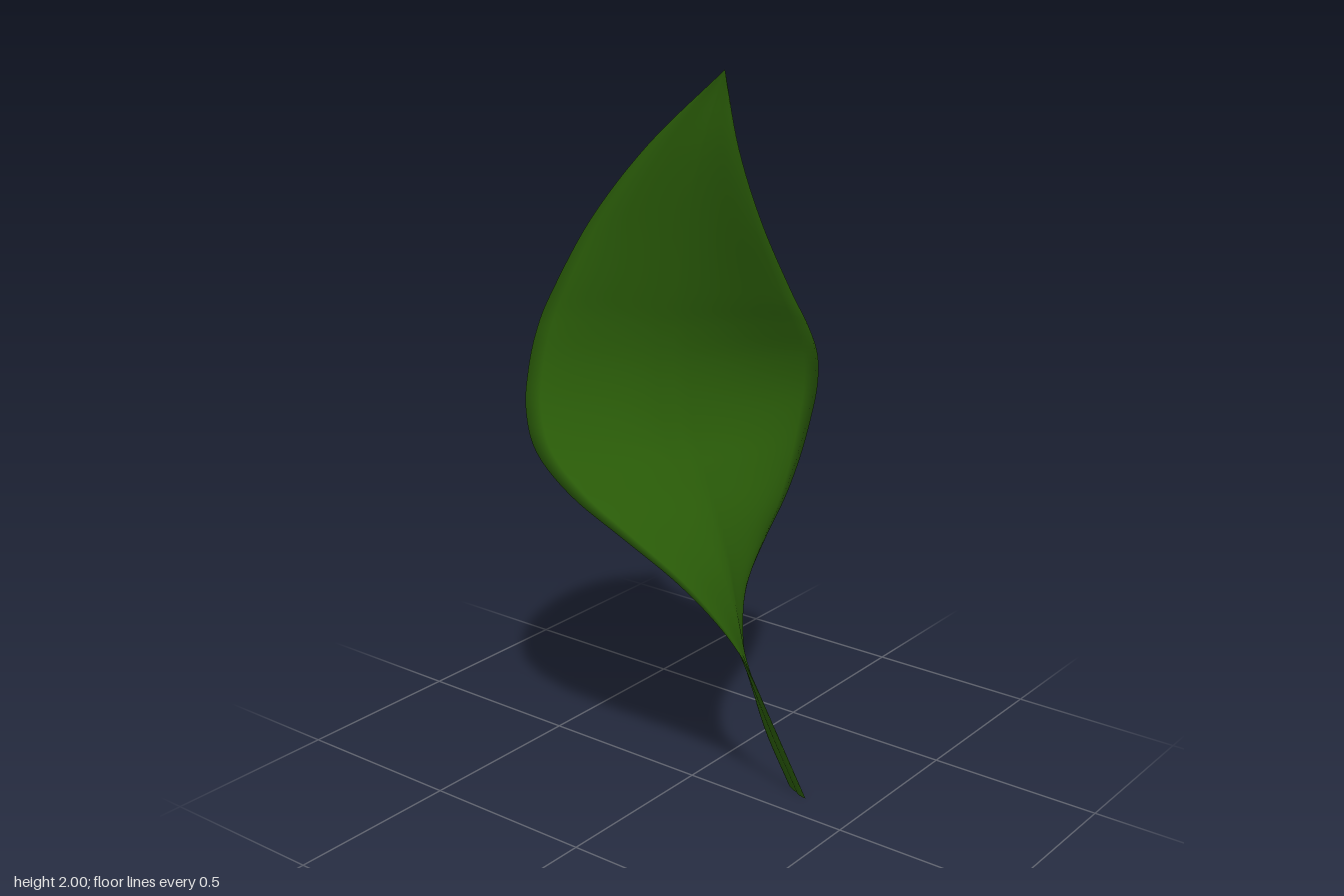
import * as THREE from 'three';

// Cross-sections from stem foot to tip: height, then x,z of right edge, midrib, left edge
const sections = [
  [0, 0.085, 0.33, 0.1, 0.29, 0.12, 0.25],
  [0.2, 0.01, 0.292, 0.028, 0.25, 0.045, 0.215],
  [0.4, -0.065, 0.252, -0.03, 0.208, 0.005, 0.18],
  [0.5, -0.11, 0.225, -0.045, 0.185, 0.015, 0.16],
  [0.6, -0.164, 0.177, -0.045, 0.152, 0.062, 0.14],
  [0.7, -0.222, 0.103, -0.04, 0.115, 0.16, 0.13],
  [0.8, -0.28, -0.01, -0.03, 0.068, 0.238, 0.14],
  [0.9, -0.325, -0.145, -0.015, 0.01, 0.29, 0.15],
  [1.0, -0.334, -0.255, 0, -0.045, 0.322, 0.16],
  [1.1, -0.309, -0.312, 0.009, -0.073, 0.335, 0.173],
  [1.2, -0.276, -0.33, 0.012, -0.08, 0.31, 0.188],
  [1.3, -0.247, -0.324, 0.006, -0.068, 0.245, 0.197],
  [1.4, -0.217, -0.296, -0.008, -0.043, 0.17, 0.197],
  [1.6, -0.16, -0.203, -0.038, 0.012, 0.045, 0.19],
  [1.8, -0.114, -0.05, -0.067, 0.085, -0.043, 0.18],
  [2.0, -0.09, 0.17, -0.09, 0.17, -0.09, 0.17],
];

// Smooth lengthwise line through one column of the sections
const line = (k) => new THREE.CatmullRomCurve3(
  sections.map((s) => new THREE.Vector3(s[k], s[0], s[k + 1])), false, 'catmullrom', 0.5);

// Thin closed skin: each ring crosses the front from right to left, then returns along the back
function leafGeometry() {
  const rightEdge = line(1), midrib = line(3), leftEdge = line(5);
  const rows = 90, cols = 10, ring = 4 * cols, pos = [], index = [];
  for (let i = 0; i <= rows; i++) {
    const u = i / rows;
    const right = rightEdge.getPoint(u), mid = midrib.getPoint(u), left = leftEdge.getPoint(u);
    const across = left.clone().sub(right);
    const back = new THREE.Vector3(across.z, 0, -across.x);
    const width = back.length();
    const thickness = 0.04 * width / (width * width + 0.04);
    for (let k = 0; k < ring; k++) {
      const isFront = k < 2 * cols;
      const side = isFront ? k / cols - 1 : 3 - k / cols;
      const t = Math.abs(side);
      // Each half is cupped backwards, leaving a groove at the midrib
      const cup = (side < 0 ? 0.045 : 0.034) * Math.sin(Math.PI * Math.pow(t, 0.85));
      const front = isFront ? thickness * (1 - Math.pow(t, 4)) : 0;
      const p = mid.clone().lerp(side < 0 ? right : left, t).addScaledVector(back, cup - front);
      pos.push(p.x, p.y, p.z);
    }
  }
  for (let i = 0; i < rows; i++) {
    for (let k = 0; k < ring; k++) {
      const a = i * ring + k, b = i * ring + (k + 1) % ring;
      index.push(a, b, a + ring, b, b + ring, a + ring);
    }
  }
  const geo = new THREE.BufferGeometry();
  geo.setAttribute('position', new THREE.Float32BufferAttribute(pos, 3));
  geo.setIndex(index);
  geo.computeVertexNormals();
  return geo;
}

export function createModel() {
  const model = new THREE.Group();
  model.name = 'leafModel';
  // The stem foot is open, so both sides show
  const green = new THREE.MeshStandardMaterial({ color: 0x295a08, side: THREE.DoubleSide });
  const leaf = new THREE.Mesh(leafGeometry(), green);
  leaf.name = 'leafWithStem';
  model.add(leaf);
  return model;
}
